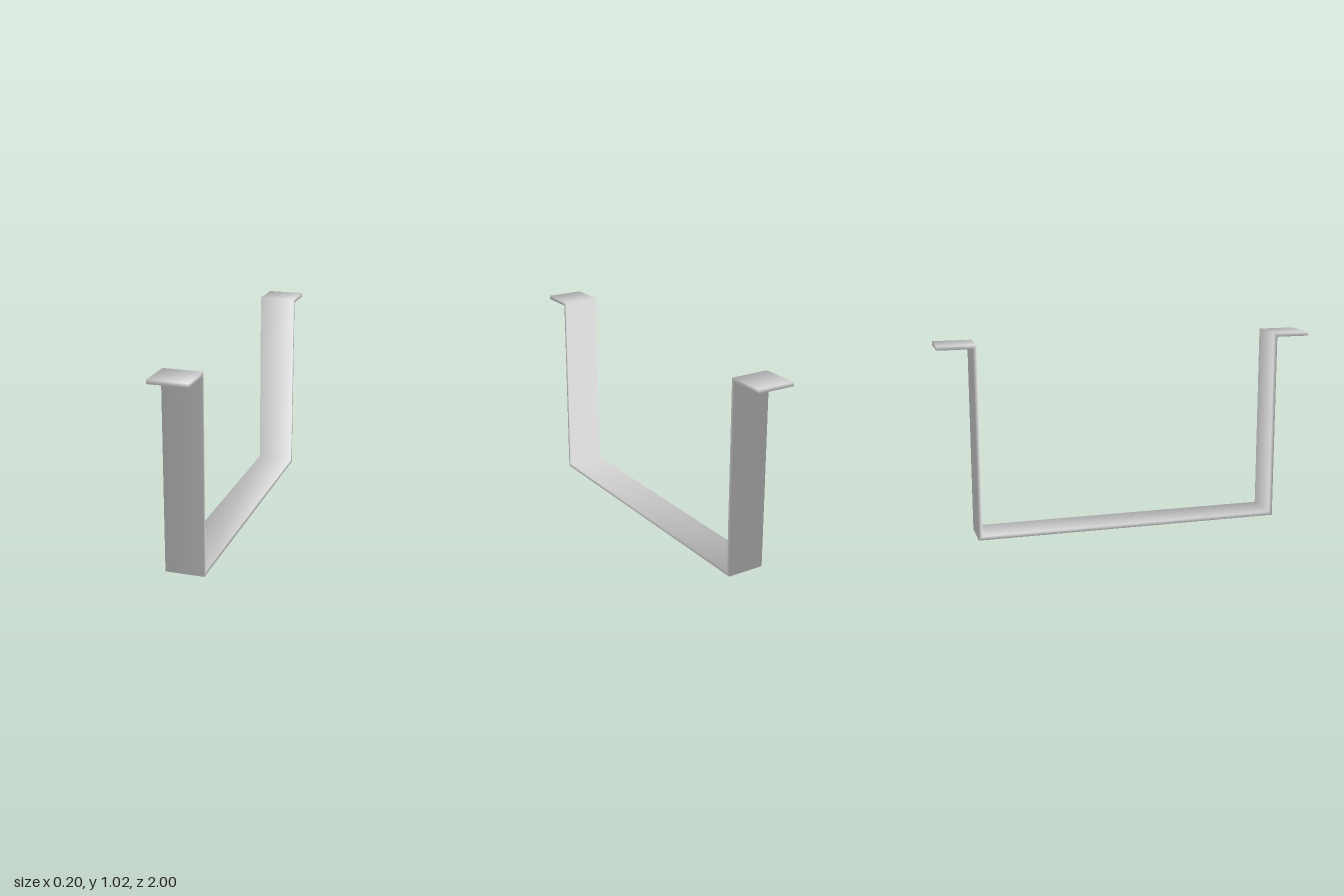
import * as THREE from 'three';

const HALF = 0.1; // half width of the strap along x

// Sections along the strap, front to back: inner z, y, normal z; outer z, y, normal z
const SECTIONS = [
  [1, 1.02, 1, 1, 1, 1],
  [0.8, 1.02, -1, 0.82, 1, 1],
  [0.8, 0.02, -1, 0.82, 0, 1],
  [-0.8, 0.02, 1, -0.82, 0, -1],
  [-0.8, 1.02, 1, -0.82, 1, -1],
  [-1, 1.02, -1, -1, 1, -1],
];

// Bent strap with shared corners, so the shading rolls softly over every edge
function strapGeometry() {
  const positions = [], normals = [], index = [];
  const quad = (a, b, c, d) => index.push(a, b, d, b, c, d);

  for (const [iz, iy, inz, oz, oy, onz] of SECTIONS) {
    for (const [z, y, nz, ny] of [[iz, iy, inz, 1], [oz, oy, onz, -1]]) {
      for (const side of [-1, 1]) {
        positions.push(side * HALF, y, z);
        normals.push(...new THREE.Vector3(side, ny, nz).normalize().toArray());
      }
    }
  }

  const last = SECTIONS.length - 1;
  for (let i = 0; i < last; i++) {
    const a = 4 * i, b = a + 4;
    // Inner and outer faces; the flanges are split along the other diagonal
    if (i === 0 || i === last - 1) {
      quad(a + 1, b + 1, b, a);
      quad(b + 2, b + 3, a + 3, a + 2);
    } else {
      quad(a, a + 1, b + 1, b);
      quad(b + 3, a + 3, a + 2, b + 2);
    }
    // Narrow left and right edges
    quad(a + 3, b + 3, b + 1, a + 1);
    quad(a, b, b + 2, a + 2);
  }
  // Flange ends
  const e = 4 * last;
  quad(2, 3, 1, 0);
  quad(e + 3, e + 2, e, e + 1);

  const geometry = new THREE.BufferGeometry();
  geometry.setAttribute('position', new THREE.Float32BufferAttribute(positions, 3));
  geometry.setAttribute('normal', new THREE.Float32BufferAttribute(normals, 3));
  geometry.setIndex(index);
  return geometry;
}

export function createModel() {
  const model = new THREE.Group();
  model.name = 'strapBracket';
  const metal = new THREE.MeshStandardMaterial({ color: 0xd8d8d8 });
  metal.name = 'light grey metal';

  const strap = new THREE.Mesh(strapGeometry(), metal);
  strap.name = 'bentStrap';
  model.add(strap);

  // Small square pad under each flange
  const padGeometry = new THREE.BoxGeometry(0.06, 0.004, 0.06);
  for (const [name, z] of [['frontFlangePad', 0.9], ['backFlangePad', -0.9]]) {
    const pad = new THREE.Mesh(padGeometry, metal);
    pad.name = name;
    pad.position.set(0, 1, z);
    model.add(pad);
  }
  return model;
}
